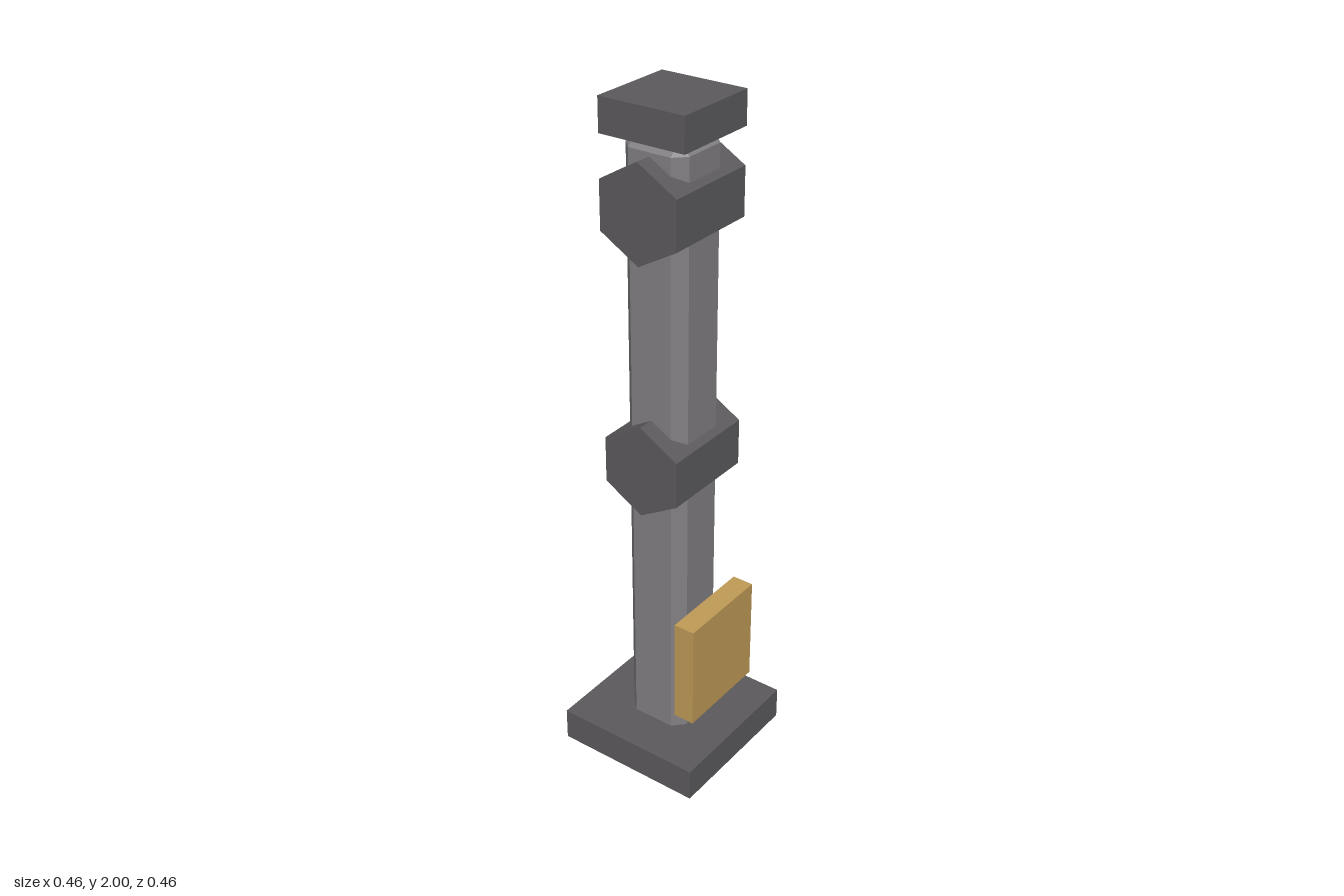
import * as THREE from 'three';
import { ConvexGeometry } from 'three/addons/geometries/ConvexGeometry.js';

export function createModel() {
  const model = new THREE.Group();
  model.name = 'post';

  const material = (name, color) => {
    const m = new THREE.MeshStandardMaterial({ color });
    m.name = name;
    return m;
  };
  const darkMetal = material('darkMetal', 0x5c5a5d);
  const greyMetal = material('greyMetal', 0x828083);
  const brass = material('brass', 0xc09b56);

  const add = (name, geometry, mat, x, y, z = 0) => {
    const mesh = new THREE.Mesh(geometry, mat);
    mesh.name = name;
    mesh.position.set(x, y, z);
    model.add(mesh);
  };

  // Box with every edge and corner cut by c
  const chamferedBox = (w, h, d, c) => {
    const points = [];
    for (const sx of [-1, 1]) for (const sy of [-1, 1]) for (const sz of [-1, 1]) {
      for (const [i, j, k] of [[0, c, c], [c, 0, c], [c, c, 0]]) {
        points.push(new THREE.Vector3(sx * (w / 2 - i), sy * (h / 2 - j), sz * (d / 2 - k)));
      }
    }
    return new ConvexGeometry(points);
  };

  // Foot plate and top cap
  add('base', new THREE.BoxGeometry(0.46, 0.1, 0.46), darkMetal, 0, 0.05);
  add('cap', new THREE.BoxGeometry(0.262, 0.095, 0.262), darkMetal, 0, 1.9525);

  // Shaft, its lower end sunk into the base
  add('shaft', chamferedBox(0.196, 1.875, 0.196, 0.033), greyMetal, 0, 0.9695);

  // Six-sided collars lying front to back
  for (const [name, y] of [['lowerCollar', 0.987], ['upperCollar', 1.726]]) {
    const hex = new THREE.CylinderGeometry(0.138, 0.138, 0.294, 6).toNonIndexed();
    hex.rotateX(Math.PI / 2);
    hex.computeVertexNormals();
    add(name, hex, darkMetal, 0, y);
  }

  // Plate standing off the left side
  add('sidePlate', new THREE.BoxGeometry(0.065, 0.325, 0.294), brass, 0.1465, 0.3625);

  return model;
}
